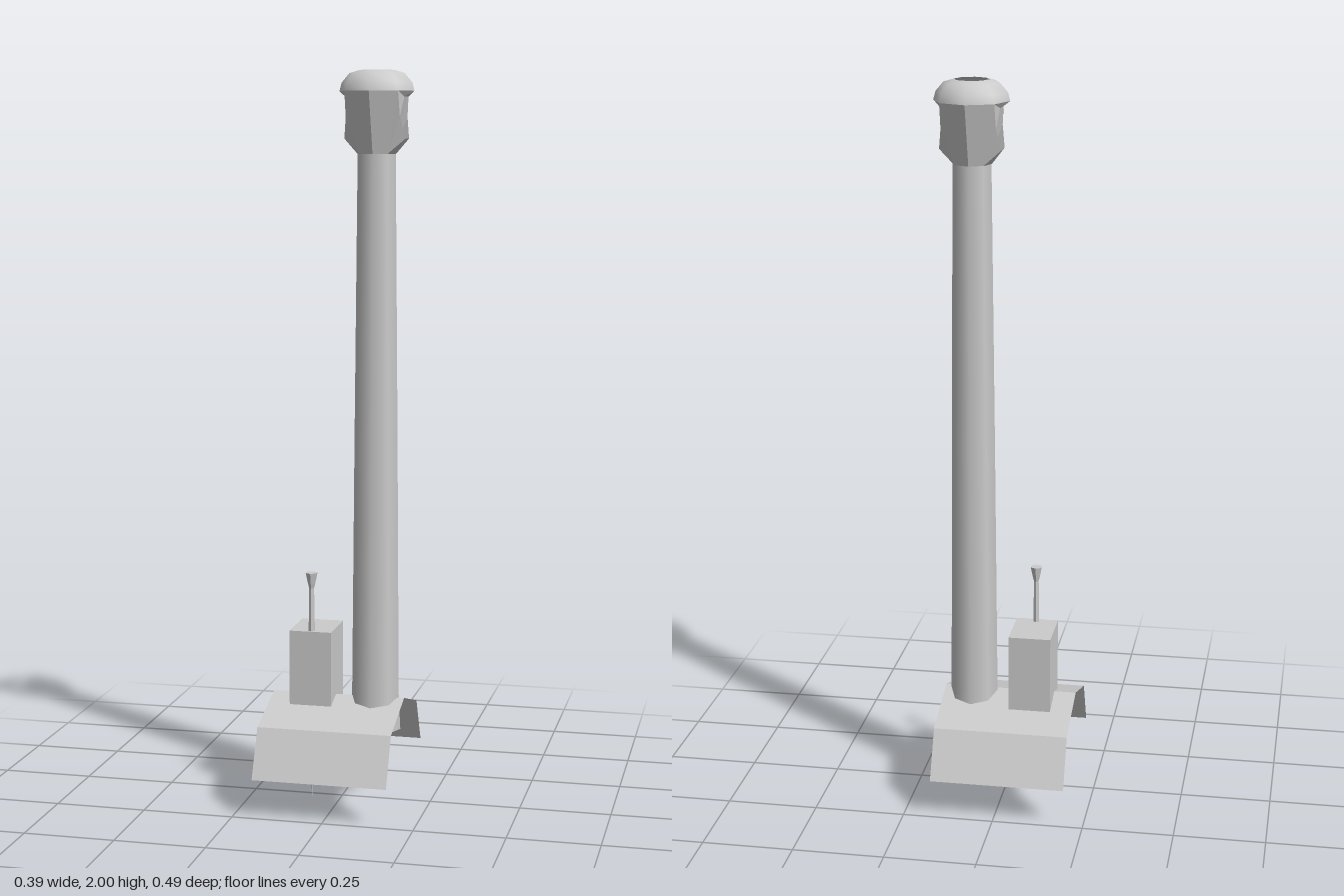
import * as THREE from 'three';

const smooth = () => new THREE.MeshStandardMaterial({ color: 0xcccccc, side: THREE.DoubleSide });
const flat = () => new THREE.MeshStandardMaterial({ color: 0xcccccc, side: THREE.DoubleSide, flatShading: true });

function part(name, geometry, material, x = 0, y = 0, z = 0) {
  const mesh = new THREE.Mesh(geometry, material);
  mesh.name = name;
  mesh.position.set(x, y, z);
  return mesh;
}

const lathe = (points, sides) =>
  new THREE.LatheGeometry(points.map(([r, y]) => new THREE.Vector2(r, y)), sides);

// Flared housing walls: closed panels front and back, hexagonal windows at both sides
function housingWalls() {
  const yB = 1.78, yT = 1.945, rB = 0.053, rT = 0.102, k = Math.SQRT1_2;
  const out = [];
  const tri = (a, b, c) => out.push(...a, ...b, ...c);
  const ring = (r, y, deg) => {
    const a = THREE.MathUtils.degToRad(deg);
    return [r * Math.cos(a), y, r * Math.sin(a)];
  };
  for (const s of [1, -1]) {
    // front / back panels
    for (const deg of [45, 90]) {
      const d = s * deg, e = s * (deg + 45);
      const a = ring(rB, yB, d), b = ring(rB, yB, e), c = ring(rT, yT, e), f = ring(rT, yT, d);
      tri(a, f, c);
      tri(a, c, b);
    }
    // side frames, each half mirrored in z
    for (const m of [1, -1]) {
      const flip = s * m < 0;
      const face = (a, b, c) => (flip ? tri(a, c, b) : tri(a, b, c));
      const p = (x, y, z) => [s * x, y, m * z];
      const B0 = p(rB, yB, 0), B1 = p(rB * k, yB, rB * k);
      const T0 = p(rT, yT, 0), T1 = p(rT * k, yT, rT * k);
      const b0 = p(0.083, 1.82, 0), b1 = p(0.083, 1.82, 0.024);
      const m1 = p(0.073, 1.877, 0.052);
      const t0 = p(0.082, 1.93, 0), t1 = p(0.08, 1.93, 0.027);
      face(B0, b0, b1);
      face(B0, b1, B1);
      face(B1, b1, m1);
      face(B1, m1, T1);
      face(T1, m1, t1);
      face(T1, t1, T0);
      face(T0, t1, t0);
    }
  }
  const g = new THREE.BufferGeometry();
  g.setAttribute('position', new THREE.Float32BufferAttribute(out, 3));
  g.computeVertexNormals();
  return g;
}

// Folded sheet spanning the x width, bent along z
function foldedSheet() {
  const profile = [[0.243, 0.105], [0.18, 0.235], [0, 0.291], [-0.18, 0.235], [-0.245, 0.105]];
  const x0 = -0.196, x1 = 0.175, out = [];
  for (let i = 0; i < profile.length - 1; i++) {
    const [za, ya] = profile[i], [zb, yb] = profile[i + 1];
    out.push(x0, ya, za, x1, ya, za, x1, yb, zb, x0, ya, za, x1, yb, zb, x0, yb, zb);
  }
  const g = new THREE.BufferGeometry();
  g.setAttribute('position', new THREE.Float32BufferAttribute(out, 3));
  g.computeVertexNormals();
  return g;
}

export function createModel() {
  const model = new THREE.Group();
  model.name = 'chimneyOnRoof';
  const cx = 0.092, cz = -0.008;

  model.add(part('roofSheet', foldedSheet(), flat()));

  // Tall tapering pipe, open at the bottom
  model.add(part('pipe', lathe([[0.071, 0.2], [0.066, 0.3], [0.06, 1.0], [0.052, 1.785]], 8), smooth(), cx, 0, cz));

  // Hollow windowed head with a rounded open top
  const head = new THREE.Group();
  head.name = 'head';
  head.position.set(cx, 0, cz);
  head.add(part('windowedWall', housingWalls(), flat()));
  head.add(part('roundedRim', lathe([[0.102, 1.945], [0.096, 1.967], [0.075, 1.992], [0.047, 2.0]], 8), smooth()));
  head.add(part('headFloor', lathe([[0.053, 1.785], [0, 1.78]], 8), smooth()));
  model.add(head);

  // Box beside the pipe
  model.add(part('sideBox', new THREE.BoxGeometry(0.117, 0.28, 0.148), flat(), -0.0765, 0.34, -0.011));

  // Thin flared rod ending in a needle point
  model.add(part('rod', lathe([[0, 0], [0.004, 0.1], [0.009, 0.2], [0.009, 0.48], [0.007, 0.6],
    [0.011, 0.615], [0.017, 0.643], [0, 0.643]], 6), flat(), -0.075, 0, 0.05));

  return model;
}
